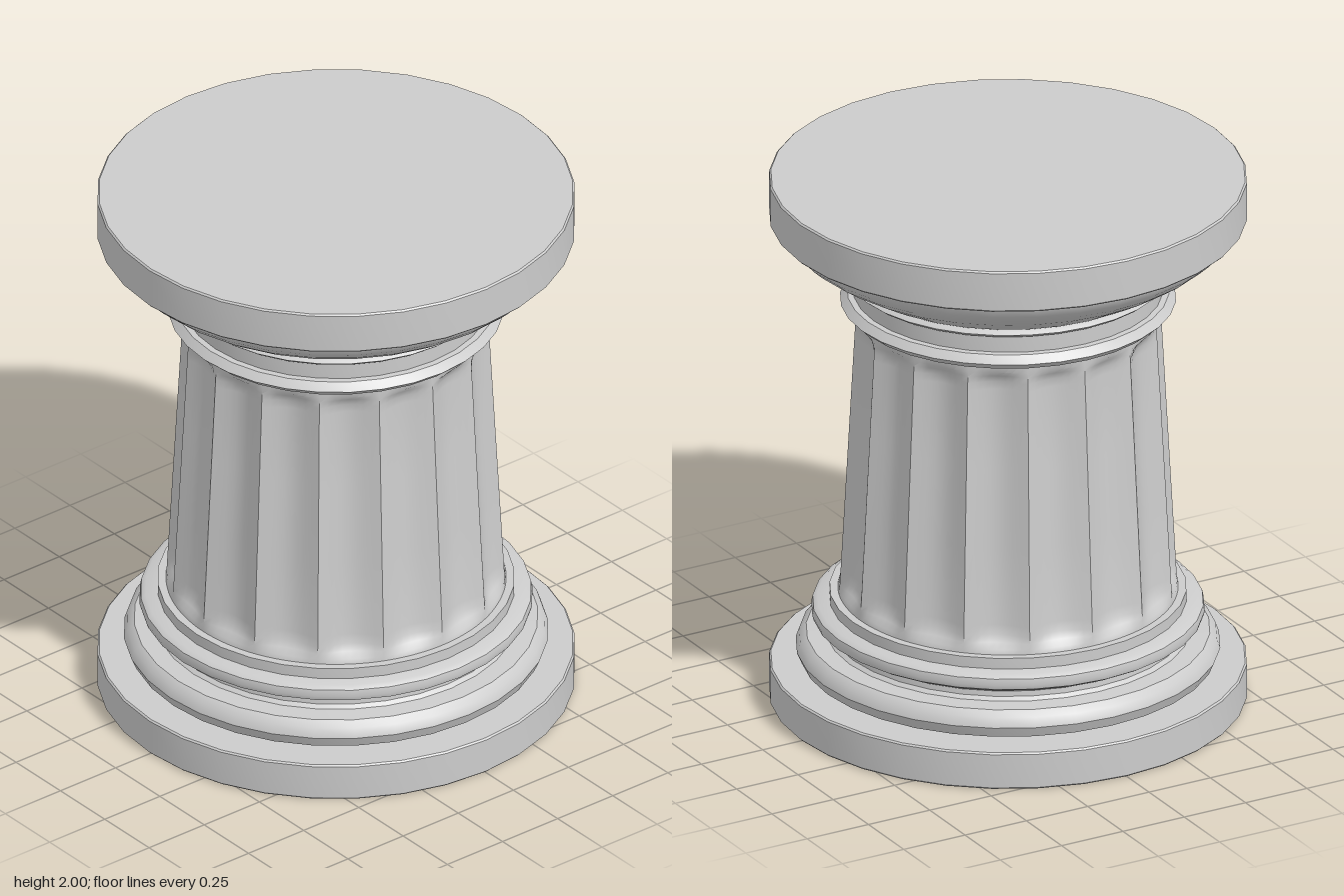
import * as THREE from 'three';
import { toCreasedNormals } from 'three/addons/utils/BufferGeometryUtils.js';

const SIDES = 32;
const FLUTES = 16;

export function createModel() {
  const group = new THREE.Group();
  const stone = new THREE.MeshStandardMaterial({ color: 0xcccccc });
  stone.name = 'grey stone';

  const add = (name, geometry, crease = 0.6) => {
    const mesh = new THREE.Mesh(toCreasedNormals(geometry, crease), stone);
    mesh.name = name;
    group.add(mesh);
  };
  // Turned part from [radius, height] pairs, bottom to top
  const turned = (name, profile) =>
    add(name, new THREE.LatheGeometry(profile.map(([r, y]) => new THREE.Vector2(r, y)), SIDES));

  // Base
  turned('plinth', [[0, 0], [0.84, 0], [0.846, 0.006], [0.846, 0.134], [0.84, 0.14], [0, 0.14]]);
  turned('lowerTorus', [[0.6, 0.14], [0.7, 0.14], [0.735, 0.155], [0.752, 0.195], [0.74, 0.23],
    [0.715, 0.25], [0.6, 0.255]]);
  turned('scotia', [[0.65, 0.25], [0.632, 0.265], [0.63, 0.285], [0.655, 0.305]]);
  turned('upperTorus', [[0.58, 0.305], [0.67, 0.305], [0.692, 0.318], [0.697, 0.335],
    [0.692, 0.358], [0.675, 0.37], [0.58, 0.372]]);
  turned('baseFillet', [[0.632, 0.365], [0.632, 0.412], [0.5, 0.412]]);

  // Tapered shaft with scooped flutes that fade out at both ends
  const levels = [0.41, 0.43, 0.45, 0.475, 0.51, 0.8, 1.1, 1.4, 1.43, 1.455, 1.475, 1.505];
  const fade = [0, 0.1, 0.6, 0.9, 1, 1, 1, 1, 0.9, 0.6, 0.1, 0];
  const perFlute = 8;
  const shaft = new THREE.CylinderGeometry(1, 1, 1, FLUTES * perFlute, levels.length - 1, true);
  const p = shaft.attributes.position;
  for (let i = 0; i < p.count; i++) {
    const k = Math.round((p.getY(i) + 0.5) * (levels.length - 1));
    const a = Math.atan2(p.getX(i), p.getZ(i));
    const y = levels[k];
    const scoop = Math.abs(Math.sin(a * FLUTES / 2));
    const r = 0.602 - 0.06 * (y - 0.41) / 1.095 - 0.04 * fade[k] * scoop;
    p.setXYZ(i, Math.sin(a) * r, y, Math.cos(a) * r);
  }
  add('flutedShaft', shaft, 0.7);

  // Neck and capital
  turned('lowerNeckRing', [[0.48, 1.503], [0.565, 1.503], [0.595, 1.53], [0.57, 1.558], [0.5, 1.562]]);
  turned('neck', [[0.548, 1.55], [0.548, 1.635]]);
  turned('upperNeckRing', [[0.5, 1.622], [0.562, 1.624], [0.578, 1.637], [0.562, 1.65], [0.55, 1.655]]);
  turned('echinus', [[0.55, 1.65], [0.575, 1.658], [0.64, 1.695], [0.7, 1.73], [0.755, 1.768],
    [0.79, 1.8], [0.808, 1.83], [0.812, 1.848]]);
  turned('abacus', [[0, 1.845], [0.84, 1.845], [0.846, 1.851], [0.846, 1.994], [0.84, 2], [0, 2]]);

  return group;
}
